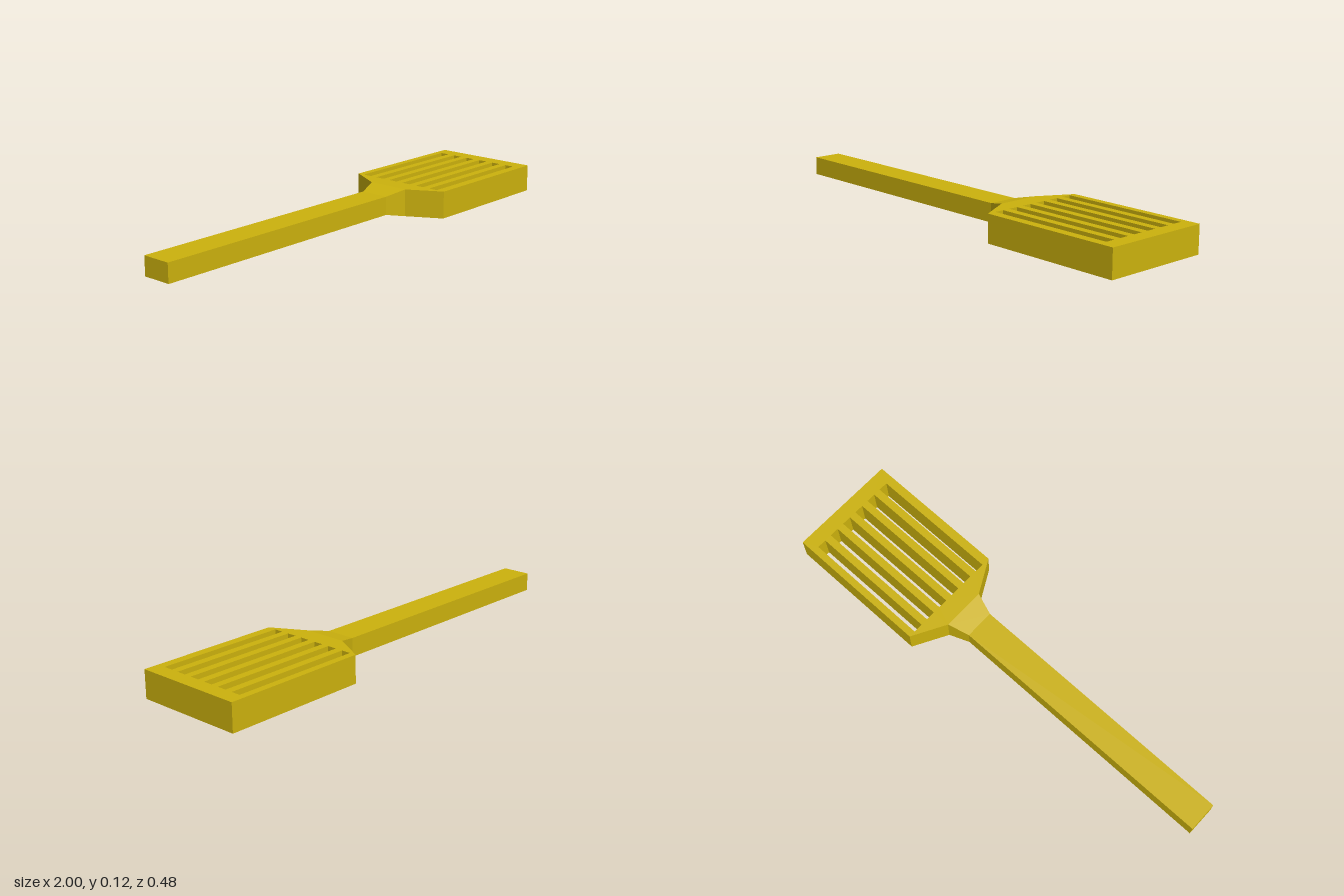
import * as THREE from 'three';

const HEIGHT = 0.118;

export function createModel() {
  const group = new THREE.Group();
  group.name = 'slottedSpatula';
  const material = new THREE.MeshStandardMaterial({ color: 0xccb20d, flatShading: true });

  const add = (name, geometry) => {
    const mesh = new THREE.Mesh(geometry, material);
    mesh.name = name;
    group.add(mesh);
  };

  // Handle: square bar whose last segment flares up to meet the blade
  const sections = [
    { x: -1, h: 0.04, w: 0.064 },
    { x: 0.2, h: 0.04, w: 0.064 },
    { x: 0.29, h: HEIGHT / 2, w: 0.093 },
  ];
  const handle = new THREE.BoxGeometry(2, 2, 2, 2, 1, 1);
  const p = handle.attributes.position;
  for (let i = 0; i < p.count; i++) {
    const s = sections[Math.round(p.getX(i)) + 1];
    p.setXYZ(i, s.x, HEIGHT / 2 + p.getY(i) * s.h, p.getZ(i) * s.w);
  }
  handle.computeVertexNormals();
  add('handle', handle);

  // Blade: shouldered plate, drawn flat as (x, -z) and extruded upwards
  const blade = new THREE.Shape([
    [0.29, -0.093], [0.37, -0.238], [1, -0.238],
    [1, 0.238], [0.37, 0.238], [0.29, 0.093],
  ].map(([x, y]) => new THREE.Vector2(x, y)));

  // Six long slots
  for (let i = 0; i < 6; i++) {
    const y = 0.004 + (i - 2.5) * 0.0735;
    const r = 0.0205;
    blade.holes.push(new THREE.Path([
      [0.37, y - r], [0.37, y + r], [0.936, y + r], [0.936, y - r],
    ].map(([x, v]) => new THREE.Vector2(x, v))));
  }
  const plate = new THREE.ExtrudeGeometry(blade, { depth: HEIGHT, bevelEnabled: false });
  plate.rotateX(-Math.PI / 2);
  add('slottedBlade', plate);

  return group;
}
